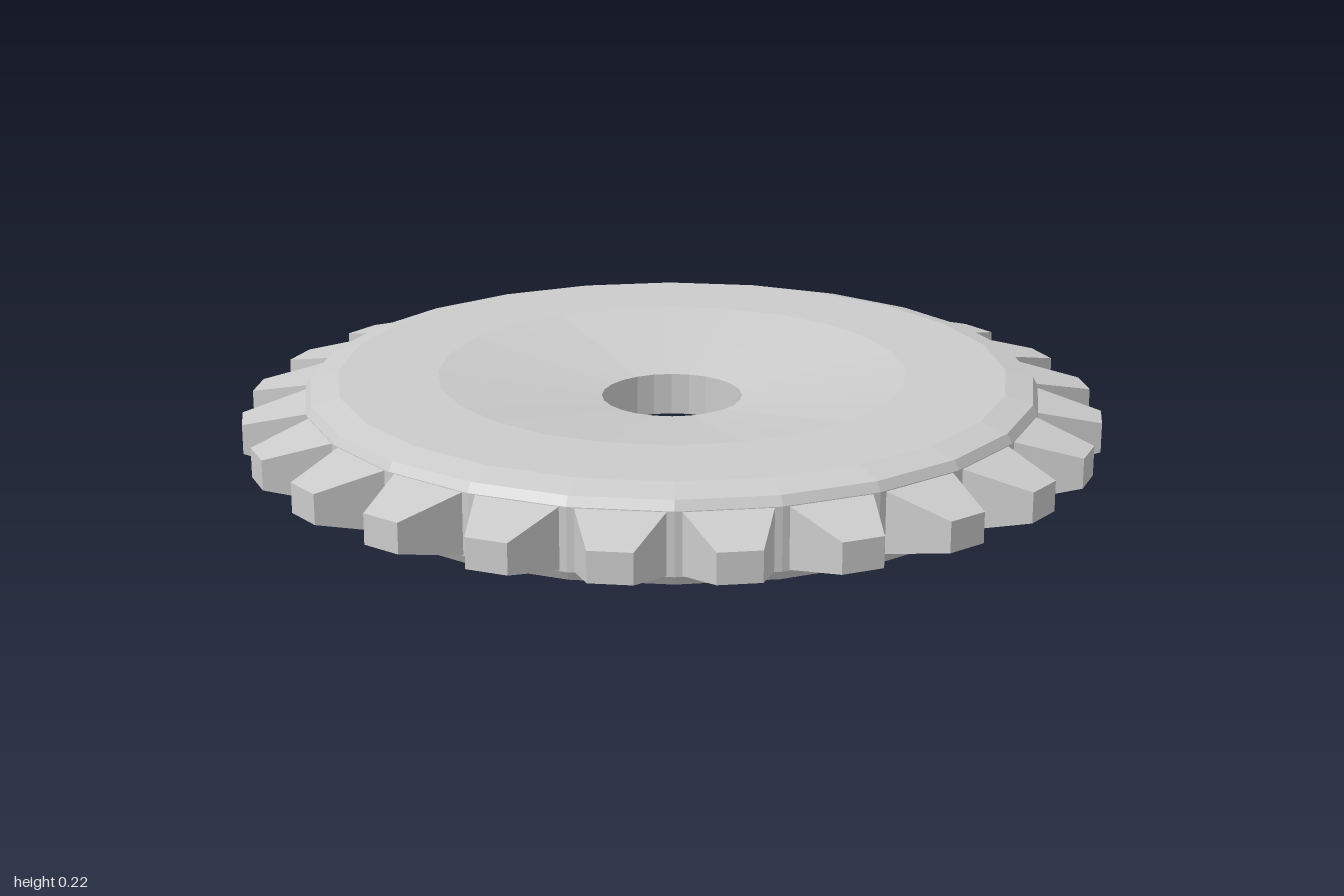
import * as THREE from 'three';

const SIDES = 24;

// Tapered tooth pointing along +x: wide at the root, narrow at the tip
function toothGeometry() {
  const root = { r: 0.83, h: 0.076, w: 0.104 };
  const tip = { r: 1.0023, h: 0.035, w: 0.048 };
  const geometry = new THREE.BoxGeometry(2, 2, 2);
  const p = geometry.attributes.position;
  for (let i = 0; i < p.count; i++) {
    const end = p.getX(i) > 0 ? tip : root;
    p.setXYZ(i, end.r, p.getY(i) * end.h, p.getZ(i) * end.w);
  }
  geometry.computeVertexNormals();
  return geometry;
}

export function createModel() {
  const group = new THREE.Group();
  group.name = 'gear';
  const material = new THREE.MeshStandardMaterial({ color: 0xcccccc, flatShading: true });

  // Dished disc with bevelled rim and centre bore, as one closed profile
  const profile = [
    [0.165, 0.06], [0.55, 0], [0.785, 0], [0.85, 0.017], [0.862, 0.038],
    [0.862, 0.182], [0.85, 0.203], [0.785, 0.22], [0.55, 0.22], [0.165, 0.16], [0.165, 0.06],
  ].map(([r, y]) => new THREE.Vector2(r, y));
  const disc = new THREE.Mesh(new THREE.LatheGeometry(profile, SIDES), material);
  disc.name = 'disc';
  group.add(disc);

  // One tooth centred on each flat of the rim
  const teeth = new THREE.Group();
  teeth.name = 'teeth';
  const geometry = toothGeometry();
  for (let i = 0; i < SIDES; i++) {
    const tooth = new THREE.Mesh(geometry, material);
    tooth.name = 'tooth';
    tooth.position.y = 0.11;
    tooth.rotation.y = ((i + 0.5) / SIDES) * Math.PI * 2;
    teeth.add(tooth);
  }
  group.add(teeth);
  return group;
}
